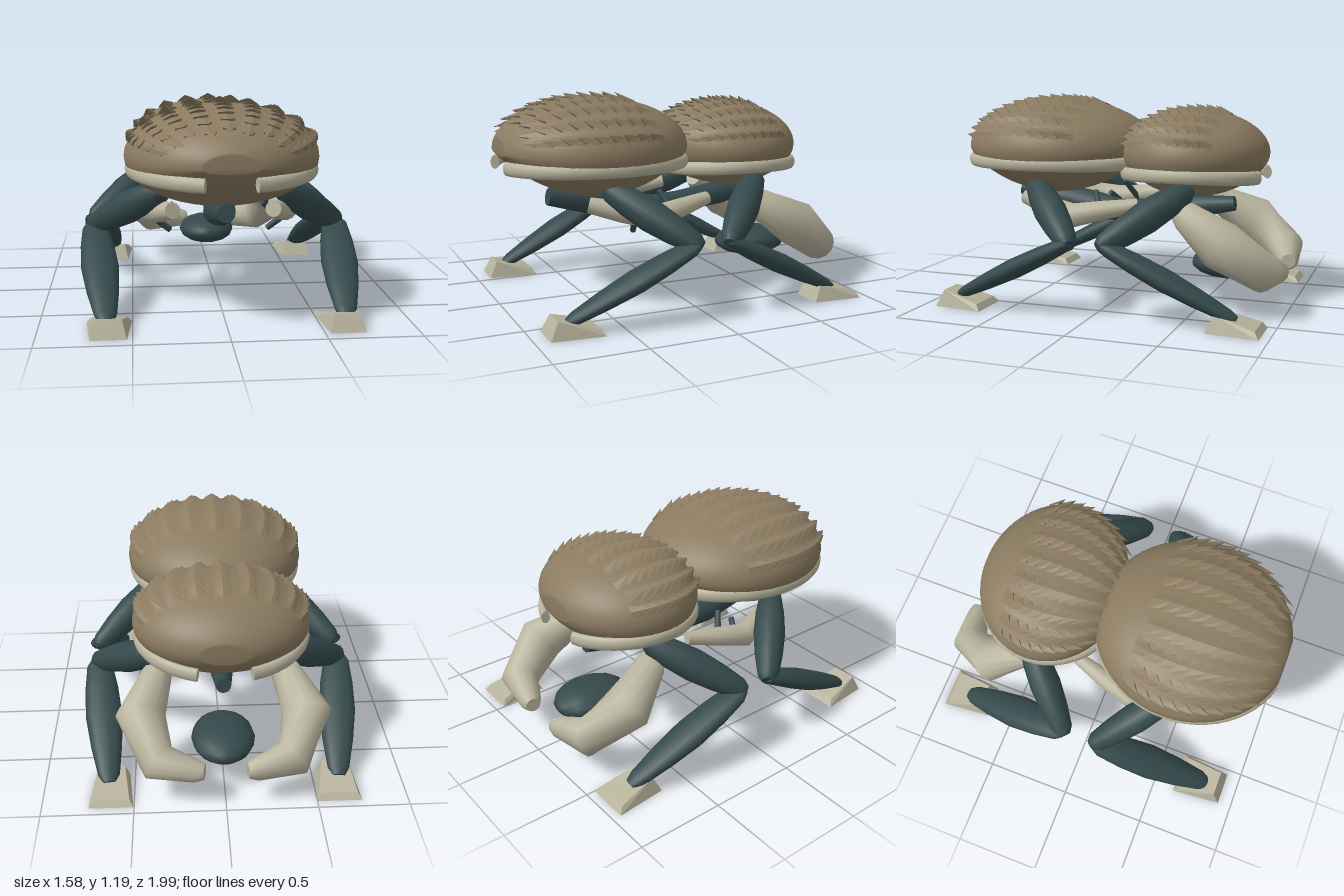
import * as THREE from 'three';
import { ConvexGeometry } from 'three/addons/geometries/ConvexGeometry.js';

const V = (x, y, z) => new THREE.Vector3(x, y, z);

// Builds an indexed geometry from positions and faces.
function build(pos, idx) {
  const g = new THREE.BufferGeometry();
  g.setAttribute('position', new THREE.Float32BufferAttribute(pos, 3));
  g.setIndex(idx);
  g.computeVertexNormals();
  return g;
}

// Capped tube through [x, y, z, radius] rings; flat scales its upright radius.
function loft(path, flat = 1, n = 14) {
  const pts = path.map(p => V(p[0], p[1], p[2]));
  const pos = [], idx = [];
  const ring = i => {
    const dir = V(0, 0, 0);
    if (i > 0) dir.add(pts[i].clone().sub(pts[i - 1]).normalize());
    if (i < pts.length - 1) dir.add(pts[i + 1].clone().sub(pts[i]).normalize());
    dir.normalize();
    const side = V(0, 1, 0).cross(dir).normalize();
    const up = dir.clone().cross(side);
    for (let j = 0; j < n; j++) {
      const a = j / n * Math.PI * 2, r = path[i][3];
      const p = pts[i].clone().addScaledVector(side, Math.cos(a) * r).addScaledVector(up, Math.sin(a) * r * flat);
      pos.push(p.x, p.y, p.z);
    }
  };
  pts.forEach((_, i) => ring(i));
  for (let i = 0; i < pts.length - 1; i++) {
    for (let j = 0; j < n; j++) {
      const a = i * n + j, b = i * n + (j + 1) % n;
      idx.push(a, b, b + n, a, b + n, a + n);
    }
  }
  // End caps on their own vertices, so their edges stay sharp
  for (const [i, first] of [[0, true], [pts.length - 1, false]]) {
    const base = pos.length / 3;
    ring(i);
    pos.push(pts[i].x, pts[i].y, pts[i].z);
    for (let j = 0; j < n; j++) {
      const a = base + j, b = base + (j + 1) % n;
      idx.push(base + n, first ? b : a, first ? a : b);
    }
  }
  return build(pos, idx);
}

// Straight limb piece, thickest in the middle, with rounded ends.
function segment(a, b, r0, rm, r1, flat) {
  const rows = [[0, r0 * 0.6], [0.06, r0], [0.25, (r0 + rm) * 0.53], [0.48, rm], [0.72, (r1 + rm) * 0.53], [0.94, r1], [1, r1 * 0.6]];
  return loft(rows.map(([t, r]) => [...V(...a).lerp(V(...b), t).toArray(), r]), flat);
}

// Domed shell: a stretched lathe along z with blunt ends and a shallower belly.
function shellGeometry(s) {
  const end = 0.965, profile = [new THREE.Vector2(0, -end)];
  for (let i = 0; i <= 24; i++) {
    const t = end * Math.sin((i / 24 - 0.5) * Math.PI);
    profile.push(new THREE.Vector2(Math.sqrt(1 - t * t), t));
  }
  profile.push(new THREE.Vector2(0, end));
  const g = new THREE.LatheGeometry(profile, 40).rotateX(Math.PI / 2);
  const p = g.attributes.position;
  for (let i = 0; i < p.count; i++) {
    const t = p.getZ(i);
    let y = p.getY(i);
    if (y < 0) y *= Math.pow(1 - t * t, s.belly);
    p.setXYZ(i, p.getX(i) * s.rx, s.cy + y * s.ry, s.cz + t * s.rz);
  }
  g.computeVertexNormals();
  return g;
}

// Ridged, pointed shingles laid in rows over the top of a shell.
function scaleGeometry(s) {
  const pos = [], rows = 9, step = 1.32 / (rows + 0.8);
  const at = (phi, t, lift) => {
    const c = Math.sqrt(1 - t * t);
    const n = V(c * Math.sin(phi) / s.rx, c * Math.cos(phi) / s.ry, t / s.rz).normalize();
    return V(s.rx * c * Math.sin(phi), s.cy + s.ry * c * Math.cos(phi), s.cz + s.rz * t).addScaledVector(n, lift);
  };
  const quad = (a, b, c, d) => [a, b, c, a, c, d].forEach(v => pos.push(v.x, v.y, v.z));
  for (let k = -4; k <= 4; k++) {
    for (let i = 0; i < rows; i++) {
      const phi = k * 0.297, w = 0.125, wf = 0.09;
      const t0 = -0.46 + i * step + (k % 2 ? step * 0.3 : 0);
      const t1 = t0 + step * 0.95, tip = t0 + step * 1.5;
      const bl = at(phi - w, t0, 0.001), bm = at(phi, t0, 0.008), br = at(phi + w, t0, 0.001);
      const fl = at(phi - wf, t1, 0.012), fm = at(phi, tip, 0.034), fr = at(phi + wf, t1, 0.012);
      const under = at(phi, t1, -0.005);
      quad(bl, fl, fm, bm);
      quad(bm, fm, fr, br);
      quad(fl, at(phi - wf, t1, -0.005), under, fm);
      quad(fm, under, at(phi + wf, t1, -0.005), fr);
    }
  }
  return build(pos, [...Array(pos.length / 3).keys()]);
}

export function createModel() {
  const group = new THREE.Group();
  const material = (name, color) => Object.assign(new THREE.MeshStandardMaterial({ color }), { name });
  const brown = material('shellBrown', 0x8a7a60);
  brown.side = THREE.DoubleSide;
  const cream = material('boneCream', 0xb7b39d);
  const dark = material('darkTeal', 0x34494b);
  const add = (name, geometry, mat) => {
    const m = new THREE.Mesh(geometry, mat);
    m.name = name;
    group.add(m);
    return m;
  };

  // Two shells with shingles and a rim band on either side
  const shells = [
    { name: 'front', rx: 0.535, ry: 0.28, rz: 0.565, cy: 0.88, cz: 0.435, belly: 0.42, bandY: 0.81, bend: 0.012 },
    { name: 'rear', rx: 0.49, ry: 0.25, rz: 0.425, cy: 0.86, cz: -0.415, belly: 0.1, bandY: 0.77, bend: 0.03 },
  ];
  for (const s of shells) {
    add(s.name + 'Shell', shellGeometry(s), brown);
    add(s.name + 'ShellScales', scaleGeometry(s), brown);
    for (const side of [1, -1]) {
      const path = [];
      for (let i = 0; i <= 24; i++) {
        const a = (15 + i / 24 * 147) * Math.PI / 180;
        path.push([side * Math.sin(a) * s.rx * 0.945, s.bandY - s.bend * Math.cos(a) ** 2,
          s.cz + Math.cos(a) * s.rz * 0.975, 0.025]);
      }
      add(s.name + 'RimBand', loft(path, 1.55, 12), cream);
    }
  }

  // Spine slung under both shells
  add('spine', loft([[0, 0.60, 0.70, 0.05], [0, 0.56, 0.45, 0.08], [0, 0.515, 0.22, 0.085], [0, 0.495, 0.05, 0.065],
    [0, 0.505, -0.12, 0.065], [0, 0.54, -0.4, 0.07], [0, 0.57, -0.65, 0.042]]), dark);

  // Faceted egg held between the rear claws
  const egg = add('egg', new THREE.SphereGeometry(1, 14, 8).rotateX(Math.PI / 2).scale(0.18, 0.092, 0.23), dark);
  egg.position.set(0, 0.22, -0.63);

  for (const s of [1, -1]) {
    // Four legs, mirrored front to back
    for (const [name, f] of [['front', 1], ['rear', -1]]) {
      add(name + 'UpperLeg', segment([s * 0.33, 0.69, f * 0.47], [s * 0.735, 0.41, f * 0.085], 0.065, 0.092, 0.06), dark);
      add(name + 'LowerLeg', segment([s * 0.715, 0.425, f * 0.09], [s * 0.635, 0.06, f * 0.81], 0.075, 0.105, 0.06, 0.55), dark);

      // Wedge foot, tall at its +z end
      const z = f > 0 ? 0.775 : -0.805;
      const corners = [];
      for (const x of [1, -1]) {
        corners.push(V(x * 0.122, 0, -0.145), V(x * 0.095, 0, 0.145), V(x * 0.1, 0.035, -0.12), V(x * 0.072, 0.095, 0.1));
      }
      const foot = add(name + 'Foot', new ConvexGeometry(corners), cream);
      foot.position.set(s * 0.625, 0, z);
    }

    // Large rear claw, bent down and inwards
    add('rearClaw', loft([[s * 0.31, 0.585, -0.38, 0.05], [s * 0.36, 0.54, -0.46, 0.085], [s * 0.455, 0.41, -0.68, 0.137],
      [s * 0.36, 0.255, -0.895, 0.108], [s * 0.16, 0.225, -0.94, 0.062], [s * 0.115, 0.225, -0.95, 0.042]]), cream);

    // Smaller inner arm between the shells
    add('innerArm', loft([[s * 0.31, 0.58, -0.16, 0.038], [s * 0.36, 0.55, 0.02, 0.054], [s * 0.4, 0.515, 0.2, 0.07],
      [s * 0.34, 0.55, 0.38, 0.06], [s * 0.275, 0.59, 0.55, 0.045]]), cream);

    // Thin spines along the inner arm
    const rods = [[0.34, 0.51, 0.05, 0.25, 0.64, 0.12], [0.36, 0.48, 0.17, 0.26, 0.56, 0.22], [0.38, 0.51, 0.32, 0.28, 0.425, 0.29]];
    for (const [x, y, z, x2, y2, z2] of rods) {
      add('armSpine', loft([[s * x, y, z, 0.02], [s * x2, y2, z2, 0.017]], 1, 8), dark);
    }
  }
  return group;
}
